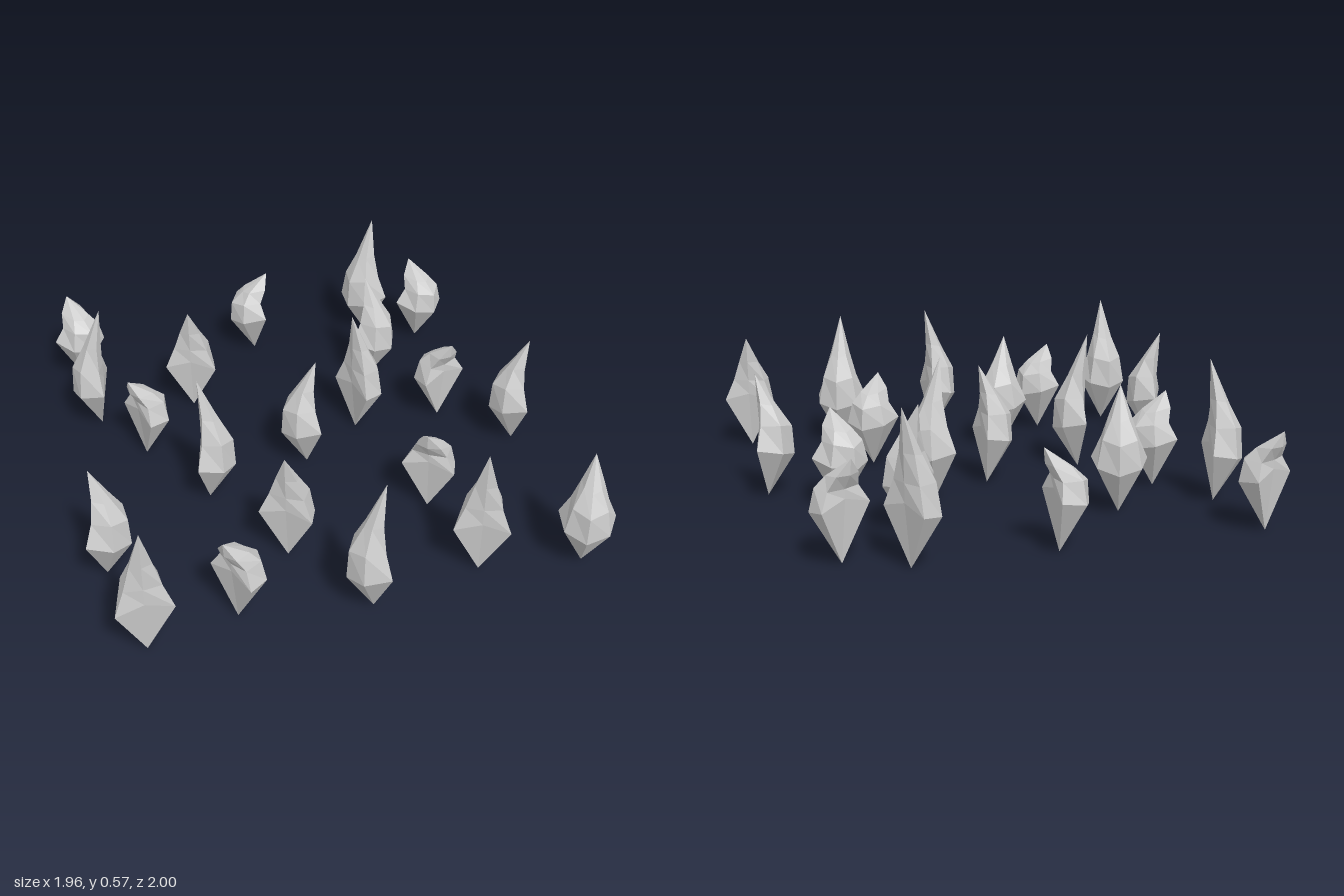
import * as THREE from 'three';

// Six-sided ring from front, corner, side and back points; corner and side are mirrored across z
function ring(front, corner, side, back) {
  const mirror = ([x, y, z]) => [x, y, -z];
  return [front, corner, side, back, mirror(side), mirror(corner)];
}

// One shard: pointed foot, wide body with two sharp front corners, a ridged back and a bent tip
function shardGeometry({ height, tipX, shoulder, neck, neckWidth }) {
  const rings = [
    ring([0.045, 0.24, 0], [0.05, 0.21, 0.108], [-0.05, 0.19, 0.085], [-0.09, 0.17, 0]),
    ring([0.045, shoulder, 0], [0.035, shoulder, 0.07], [-0.042, shoulder, 0.066], [-0.083, shoulder - 0.015, 0]),
    ring([tipX - 0.005, neck, 0], [tipX - 0.02, neck, neckWidth], [-0.01, neck - 0.01, neckWidth * 0.8], [-0.03, neck - 0.02, 0]),
  ];
  const foot = [0.02, 0, 0], tip = [tipX, height, 0];
  const n = rings[0].length, pos = [];
  const tri = (...corners) => corners.forEach(c => pos.push(...c));
  for (let i = 0; i < n; i++) {
    const j = (i + 1) % n;
    tri(foot, rings[0][i], rings[0][j]);
    for (let k = 0; k < rings.length - 1; k++) {
      tri(rings[k][i], rings[k + 1][i], rings[k + 1][j]);
      tri(rings[k][i], rings[k + 1][j], rings[k][j]);
    }
    tri(rings[2][i], tip, rings[2][j]);
  }
  const geometry = new THREE.BufferGeometry();
  geometry.setAttribute('position', new THREE.Float32BufferAttribute(pos, 3));
  geometry.computeVertexNormals();
  return geometry;
}

export function createModel() {
  const group = new THREE.Group();
  group.name = 'shardField';
  const material = new THREE.MeshStandardMaterial({ color: 0xcccccc, flatShading: true });

  // Three kinds of shard; each placement is x, z and the heading of its tip in degrees
  const kinds = [
    { name: 'tallShard', height: 0.575, tipX: 0.052, shoulder: 0.31, neck: 0.415, neckWidth: 0.042, places: [
      [0.545, -0.885, -26], [-0.785, -0.505, 13], [0.307, -0.177, 160], [-0.405, 0.12, -162],
      [-0.83, 0.855, 90], [0, 0.89, 0], [0.475, 0.795, 112]] },
    { name: 'mediumShard', height: 0.495, tipX: 0.055, shoulder: 0.3, neck: 0.385, neckWidth: 0.042, places: [
      [-0.345, -0.54, 111], [0.485, -0.52, -133], [0, 0, 0], [0.89, 0.085, 12],
      [-0.885, 0.455, -152], [-0.2, 0.52, 125], [0.86, 0.895, -66]] },
    { name: 'shortShard', height: 0.39, tipX: 0.082, shoulder: 0.275, neck: 0.33, neckWidth: 0.05, places: [
      [-0.78, -0.87, -120], [0, -0.885, 0], [0.79, -0.76, -119], [-0.6, -0.245, 160],
      [0.655, -0.175, 68], [0.42, 0.395, 127], [-0.46, 0.795, 151]] },
  ];
  for (const { name, places, ...shape } of kinds) {
    const geometry = shardGeometry(shape);
    places.forEach(([x, z, heading], i) => {
      const shard = new THREE.Mesh(geometry, material);
      shard.name = name + (i + 1);
      shard.position.set(x, 0, z);
      shard.rotation.y = -THREE.MathUtils.degToRad(heading);
      group.add(shard);
    });
  }
  return group;
}
